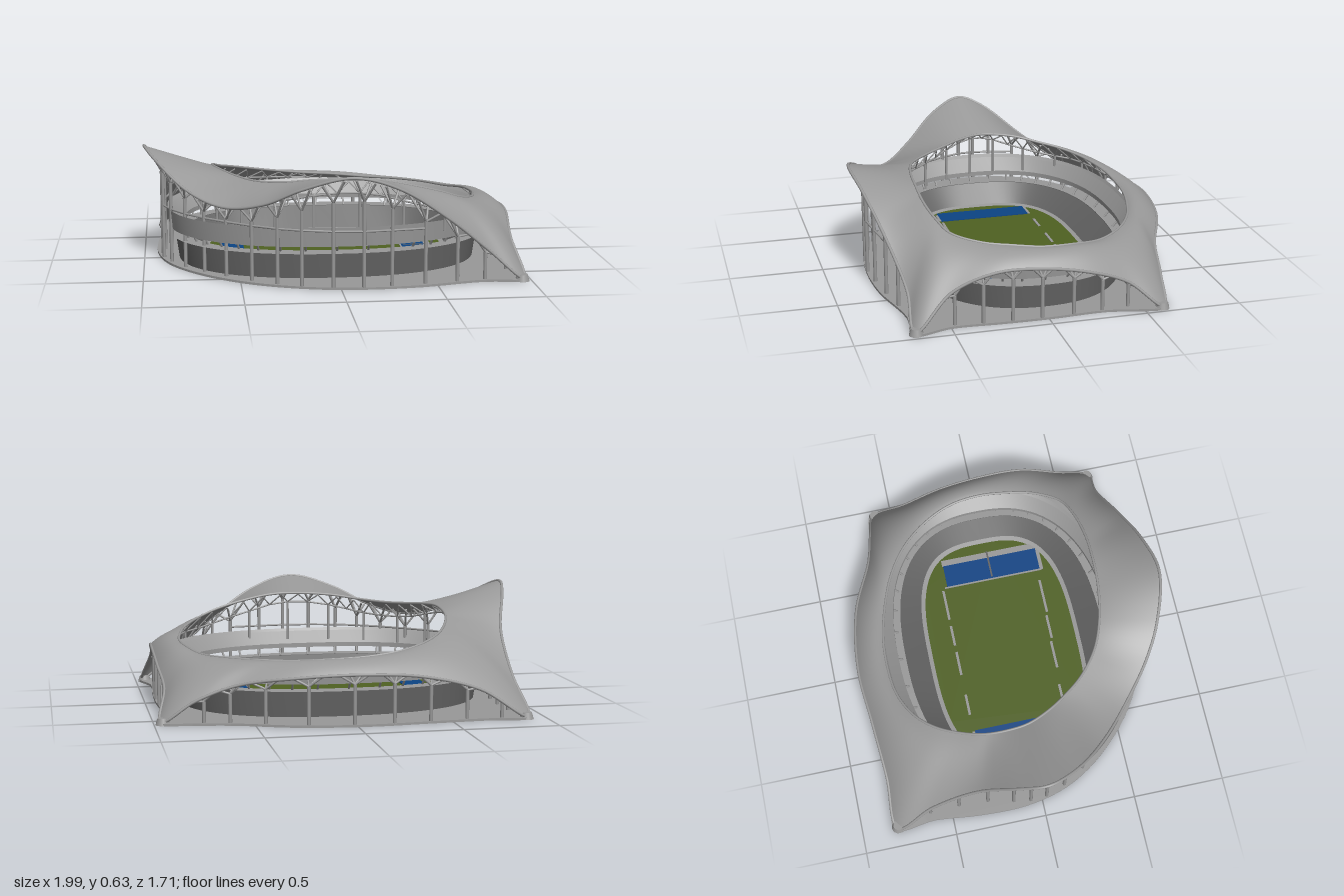
import * as THREE from 'three';

const mat = (name, color, side = THREE.FrontSide) => {
  const m = new THREE.MeshStandardMaterial({ color, side });
  m.name = name;
  return m;
};
const concrete = mat('concrete grey', 0x999999, THREE.DoubleSide);
const seating = mat('seating grey', 0x666666, THREE.DoubleSide);
const grass = mat('grass green', 0x4f6122);
const blue = mat('end zone blue', 0x0c4484);

// Outer edge of the canopy, from the front left foot round the back to the front
const OUTER = [
  [0.96, 0.012, 0.69], [0.925, 0.19, 0.5], [0.945, 0.28, 0.28], [0.95, 0.28, 0.05], [0.945, 0.235, -0.2],
  [0.93, 0.15, -0.42], [0.965, 0.012, -0.6], [0.8, 0.12, -0.64], [0.6, 0.2, -0.68], [0.3, 0.25, -0.8],
  [-0.05, 0.265, -0.85], [-0.35, 0.24, -0.83], [-0.65, 0.16, -0.81], [-0.9, 0.012, -0.81], [-0.875, 0.2, -0.6],
  [-0.89, 0.4, -0.35], [-0.965, 0.575, -0.13], [-0.99, 0.625, 0], [-0.92, 0.565, 0.17], [-0.76, 0.44, 0.36],
  [-0.58, 0.385, 0.52], [-0.38, 0.43, 0.68], [-0.2, 0.52, 0.78], [0.05, 0.588, 0.848], [0.28, 0.525, 0.815],
  [0.55, 0.35, 0.745], [0.78, 0.16, 0.69],
];
// Matching points on the rim of the opening
const RIM = [
  [0.66, 0.40, 0.44], [0.75, 0.37, 0.3], [0.79, 0.355, 0.15], [0.81, 0.34, 0], [0.79, 0.33, -0.17],
  [0.72, 0.31, -0.33], [0.6, 0.31, -0.47], [0.45, 0.31, -0.57], [0.3, 0.31, -0.63], [0.1, 0.32, -0.68],
  [-0.08, 0.33, -0.69], [-0.25, 0.35, -0.67], [-0.4, 0.38, -0.6], [-0.5, 0.41, -0.5], [-0.57, 0.44, -0.37],
  [-0.61, 0.47, -0.25], [-0.62, 0.49, -0.13], [-0.61, 0.5, -0.02], [-0.56, 0.495, 0.1], [-0.49, 0.485, 0.21],
  [-0.4, 0.48, 0.32], [-0.27, 0.49, 0.42], [-0.12, 0.51, 0.48], [0.06, 0.52, 0.515], [0.22, 0.515, 0.525],
  [0.4, 0.48, 0.52], [0.55, 0.44, 0.49],
];
// Ground slab outline as x, z
const SLAB = [
  [0.975, 0.7], [0.93, 0.5], [0.94, 0.25], [0.945, 0], [0.935, -0.3], [0.975, -0.615], [0.8, -0.65],
  [0.6, -0.69], [0.3, -0.8], [-0.05, -0.845], [-0.4, -0.825], [-0.7, -0.81], [-0.91, -0.825], [-0.9, -0.6],
  [-0.925, -0.35], [-0.925, -0.08], [-0.86, 0.17], [-0.7, 0.41], [-0.45, 0.62], [-0.15, 0.745], [0.1, 0.78],
  [0.4, 0.765], [0.75, 0.69],
];
const closedCurve = (pts) => new THREE.CatmullRomCurve3(pts.map((p) => new THREE.Vector3(...p)), true, 'centripetal');
const outerCurve = closedCurve(OUTER);
const rimCurve = closedCurve(RIM);

// Canopy surface: u runs round the stadium, t from outer edge to rim, arching over the low feet
function roofPoint(u, t) {
  u = ((u % 1) + 1) % 1;
  const a = outerCurve.getPoint(u), b = rimCurve.getPoint(u);
  const p = a.clone().lerp(b, t);
  p.y += 2 * t * (1 - t) * 0.38 * Math.max(0, 0.42 - a.y);
  return p;
}

// Point just beneath the canopy, where supports end
function underRoof(u, t) {
  const p = roofPoint(u, t);
  p.y -= 0.012;
  return p;
}

// Joins closed rows of points into a smooth sheet
function loft(rows) {
  const n = rows[0].length, pos = [], idx = [];
  rows.forEach((row) => row.forEach((p) => pos.push(p.x, p.y, p.z)));
  for (let r = 0; r < rows.length - 1; r++) {
    for (let i = 0; i < n; i++) {
      const a = r * n + i, b = r * n + (i + 1) % n;
      idx.push(a, b, a + n, b, b + n, a + n);
    }
  }
  const g = new THREE.BufferGeometry();
  g.setAttribute('position', new THREE.Float32BufferAttribute(pos, 3));
  g.setIndex(idx);
  g.computeVertexNormals();
  return g;
}

// Rounded oval: half width, half depth, height, squareness
function oval([a, b, y, n], count = 96) {
  return Array.from({ length: count }, (_, i) => {
    const th = (i / count) * Math.PI * 2, c = Math.cos(th), s = Math.sin(th);
    return new THREE.Vector3(
      a * Math.sign(c) * Math.abs(c) ** (2 / n), y, -0.02 + b * Math.sign(s) * Math.abs(s) ** (2 / n));
  });
}

export function createModel() {
  const model = new THREE.Group();
  const group = (name) => {
    const g = new THREE.Group();
    g.name = name;
    model.add(g);
    return g;
  };
  const add = (parent, name, geo, material) => {
    const m = new THREE.Mesh(geo, material);
    m.name = name;
    parent.add(m);
    return m;
  };
  const strut = (parent, name, a, b, r) => {
    const d = b.clone().sub(a);
    const m = add(parent, name, new THREE.CylinderGeometry(r, r, d.length(), 7), concrete);
    m.position.copy(a).addScaledVector(d, 0.5);
    m.quaternion.setFromUnitVectors(new THREE.Vector3(0, 1, 0), d.normalize());
  };

  // Canopy with rounded edges
  const canopy = group('canopy');
  const SEG = 162, rows = [];
  for (let j = 0; j <= 12; j++) {
    rows.push(Array.from({ length: SEG }, (_, i) => roofPoint(i / SEG, j / 12)));
  }
  add(canopy, 'roofShell', loft(rows), concrete);
  add(canopy, 'outerEdge', new THREE.TubeGeometry(outerCurve, 220, 0.008, 8, true), concrete);
  add(canopy, 'openingRim', new THREE.TubeGeometry(rimCurve, 200, 0.007, 8, true), concrete);
  [0, 6, 13].forEach((i) => {
    const foot = add(canopy, 'canopyFoot', new THREE.CylinderGeometry(0.027, 0.038, 0.035, 16), concrete);
    foot.position.set(OUTER[i][0] * 0.99, 0.0175, OUTER[i][2] * 0.99);
  });

  // Ground slab
  const plan = closedCurve(SLAB.map(([x, z]) => [x, 0, z])).getPoints(120).slice(0, -1)
    .map((p) => new THREE.Vector2(p.x, -p.z));
  const slab = new THREE.ExtrudeGeometry(new THREE.Shape(plan), { depth: 0.012, bevelEnabled: false });
  add(model, 'groundSlab', slab.rotateX(-Math.PI / 2), concrete);

  // Seating bowl
  const bowl = group('seatingBowl');
  const ring = (name, from, to, material) => add(bowl, name, loft([oval(from), oval(to)]), material);
  ring('pitchSurround', [0.645, 0.41, 0.04, 3], [0.67, 0.433, 0.045, 3], concrete);
  ring('lowerSeats', [0.67, 0.433, 0.045, 3], [0.755, 0.56, 0.15, 2.5], seating);
  ring('walkway', [0.755, 0.56, 0.153, 2.5], [0.86, 0.65, 0.153, 2.25], concrete);
  ring('lowerWall', [0.83, 0.61, 0.153, 2.3], [0.81, 0.59, 0.01, 2.3], seating);
  ring('upperFront', [0.775, 0.6, 0.19, 2.4], [0.775, 0.6, 0.215, 2.4], concrete);
  ring('upperSeats', [0.775, 0.6, 0.215, 2.4], [0.85, 0.66, 0.28, 2.25], concrete);
  ring('upperParapet', [0.85, 0.66, 0.28, 2.25], [0.87, 0.67, 0.295, 2.25], concrete);
  ring('upperWall', [0.87, 0.67, 0.295, 2.25], [0.86, 0.66, 0.193, 2.25], concrete);
  ring('upperFloor', [0.86, 0.66, 0.193, 2.25], [0.775, 0.6, 0.19, 2.4], concrete);
  const low = oval([0.79, 0.58, 0.15, 2.35], 40), high = oval([0.82, 0.62, 0.2, 2.3], 40);
  low.forEach((p, i) => strut(bowl, 'tierPost', p, high[i], 0.006));

  // Pitch with end zones and broken side lines
  const pitch = group('pitch');
  const outline = oval([0.65, 0.42, 0, 3]).map((p) => new THREE.Vector2(p.x, -p.z));
  add(pitch, 'grass', new THREE.ShapeGeometry(new THREE.Shape(outline)).rotateX(-Math.PI / 2), grass).position.y = 0.036;
  const plate = (name, x0, x1, z0, z1, material, y = 0.039) => {
    const m = add(pitch, name, new THREE.BoxGeometry(x1 - x0, 0.004, z1 - z0), material);
    m.position.set((x0 + x1) / 2, y, (z0 + z1) / 2);
  };
  plate('rightEndZone', -0.585, -0.455, -0.285, 0.235, blue);
  plate('leftEndZone', 0.42, 0.55, -0.265, 0.28, blue);
  plate('rightEndLine', -0.59, -0.46, -0.3, -0.285, concrete);
  plate('rightCornerLine', -0.56, -0.46, 0.235, 0.25, concrete);
  plate('leftEndLine', 0.55, 0.585, -0.27, 0.3, concrete);
  plate('leftCornerLine', 0.415, 0.56, 0.28, 0.3, concrete);
  plate('goalLine', 0.411, 0.42, -0.28, 0.29, concrete);
  plate('centreMark', 0.43, 0.59, -0.005, 0.005, seating, 0.041);
  [[-0.36, -0.24], [-0.12, 0.02], [0.06, 0.18], [0.22, 0.4]].forEach(([a, b]) => {
    plate('backSideLine', a, b, -0.3, -0.286, concrete);
    plate('frontSideLine', a - 0.07, b - 0.05, 0.245 + a * 0.05, 0.259 + a * 0.05, concrete);
  });

  // Outer columns: trunk, branches to the canopy, and a ring beam
  const frame = group('outerFrame');
  const N = 40, ringY = 0.3;
  const tops = Array.from({ length: N }, (_, i) => {
    const u = (i + 0.5) / N;
    return underRoof(u, 0.09 + 0.4 * Math.max(0, outerCurve.getPoint(u).y - 0.25));
  });
  tops.forEach((top, i) => {
    const u = (i + 0.5) / N;
    if (top.y < 0.1) return;
    const fork = top.clone().setY(top.y - Math.min(0.1, top.y * 0.2));
    strut(frame, 'column', top.clone().setY(0.01), fork, 0.01);
    [[0.008, 0.06], [-0.008, 0.06], [0.008, 0.4], [-0.008, 0.4]].forEach(([du, t]) => {
      strut(frame, 'branch', fork, underRoof(u + du, t), 0.006);
    });
    const next = tops[(i + 1) % N];
    if (top.y > 0.34 && next.y > 0.34) {
      strut(frame, 'ringBeam', top.clone().setY(ringY), next.clone().setY(ringY), 0.006);
    }
  });

  // Inner columns and zigzag truss standing on the upper tier
  const truss = group('innerTruss');
  const M = 44, T = 0.78;
  const chord = Array.from({ length: M }, (_, i) => {
    const p = underRoof(i / M, T);
    return p.y < 0.32 ? null : p.setY(p.y - Math.min(0.06, (p.y - 0.26) * 0.45));
  });
  chord.forEach((p, i) => {
    if (!p) return;
    if (i % 2 === 0) strut(truss, 'innerColumn', p.clone().setY(0.24), p, 0.007);
    strut(truss, 'truss', p, underRoof((i - 0.5) / M, 0.95), 0.004);
    strut(truss, 'truss', p, underRoof((i + 0.5) / M, 0.95), 0.004);
    const next = chord[(i + 1) % M];
    if (next) strut(truss, 'lowerChord', p, next, 0.005);
  });
  return model;
}
